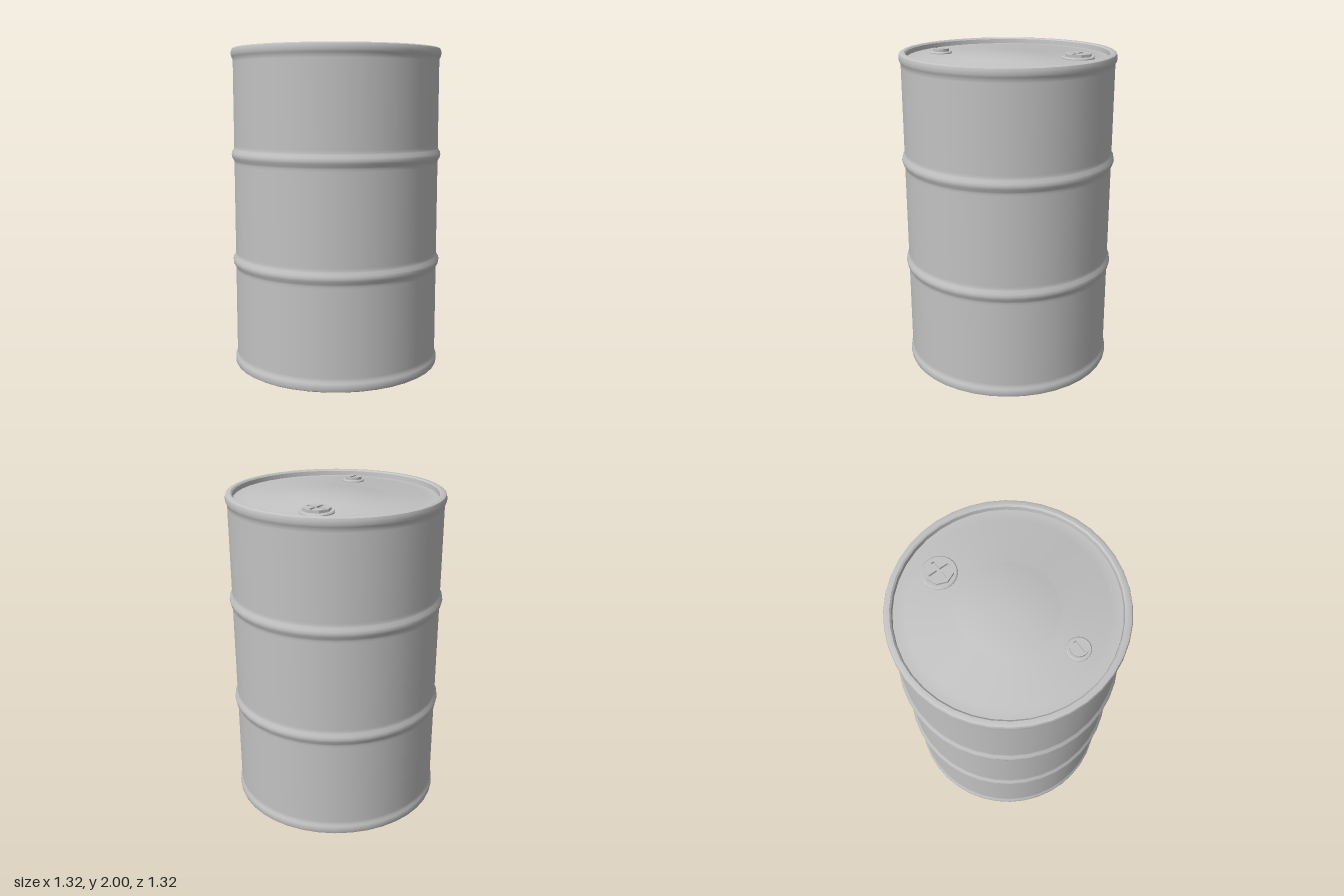
import * as THREE from 'three';
import { toCreasedNormals } from 'three/addons/utils/BufferGeometryUtils.js';

const SIDES = 40;

// Solid of revolution from [radius, height] pairs, listed bottom to top
function lathe(points, sides = SIDES) {
  const geometry = new THREE.LatheGeometry(points.map(([r, y]) => new THREE.Vector2(r, y)), sides);
  return toCreasedNormals(geometry, 0.7);
}

// Rounded rolling hoop pressed out of the wall
const hoop = (y) => [
  [0.645, y - 0.06], [0.645, y - 0.045], [0.648, y - 0.034], [0.659, y - 0.016], [0.662, y],
  [0.659, y + 0.016], [0.648, y + 0.034], [0.645, y + 0.045], [0.645, y + 0.06],
];

// Regular polygon outline with a slot or cross cut through it
function plugShape(radius, sides, slot) {
  const shape = new THREE.Shape();
  for (let i = 0; i < sides; i++) {
    const a = ((i + (sides === 8 ? 0 : 0.5)) / sides) * Math.PI * 2;
    shape[i ? 'lineTo' : 'moveTo'](radius * Math.cos(a), radius * Math.sin(a));
  }
  shape.closePath();
  shape.holes.push(new THREE.Path(slot.map(([x, y]) => new THREE.Vector2(x, y))));
  return shape;
}

export function createModel() {
  const steel = new THREE.MeshStandardMaterial({ color: 0xc2c2c2 });
  steel.name = 'grey steel';
  const model = new THREE.Group();
  model.name = 'drum';

  function add(parent, name, geometry, x = 0, y = 0, z = 0) {
    const mesh = new THREE.Mesh(geometry, steel);
    mesh.name = name;
    mesh.position.set(x, y, z);
    parent.add(mesh);
  }

  // Wall with two hoops and a rolled rim at each end
  add(model, 'wall', lathe([
    [0.615, 0.03], [0.615, 0.008], [0.622, 0], [0.642, 0], [0.652, 0.006], [0.656, 0.018],
    [0.656, 0.04], [0.652, 0.054], [0.645, 0.066], [0.645, 0.085],
    ...hoop(0.675), ...hoop(1.345),
    [0.645, 1.915], [0.645, 1.934], [0.652, 1.946], [0.656, 1.96], [0.656, 1.982],
    [0.652, 1.994], [0.642, 2], [0.622, 2], [0.613, 1.992], [0.61, 1.965],
  ]));

  // Lid and base, each with shallow pressed steps
  add(model, 'lid', lathe([
    [0.613, 1.965], [0.545, 1.965], [0.535, 1.969], [0.285, 1.969], [0.275, 1.973], [0, 1.973],
  ]));
  add(model, 'base', lathe([
    [0, 0.022], [0.335, 0.022], [0.345, 0.026], [0.618, 0.026],
  ]));

  // Screw plugs: flange ring, then a cap with a driver slot
  function addPlug(name, x, z, flange, radius, sides, slot) {
    const plug = new THREE.Group();
    plug.name = name;
    plug.position.set(x, 1.965, z);
    model.add(plug);
    add(plug, 'flange', lathe([
      [flange, 0], [flange, 0.01], [flange - 0.006, 0.016], [0, 0.016],
    ], 28));
    const cap = new THREE.ExtrudeGeometry(plugShape(radius, sides, slot), { depth: 0.016, bevelEnabled: false });
    cap.rotateX(-Math.PI / 2);
    add(plug, 'cap', toCreasedNormals(cap, 0.5), 0, 0.016, 0);
  }

  const w = 0.009, l = 0.062;
  const cross = [
    [w, w], [w, l], [-w, l], [-w, w], [-l, w], [-l, -w],
    [-w, -w], [-w, -l], [w, -l], [w, -w], [l, -w], [l, w],
  ];
  const bar = [[0.04, 0.009], [-0.04, 0.009], [-0.04, -0.009], [0.04, -0.009]];
  addPlug('largePlug', 0.395, -0.163, 0.1, 0.081, 8, cross);
  addPlug('smallPlug', -0.4, 0.155, 0.068, 0.05, 24, bar);

  return model;
}
